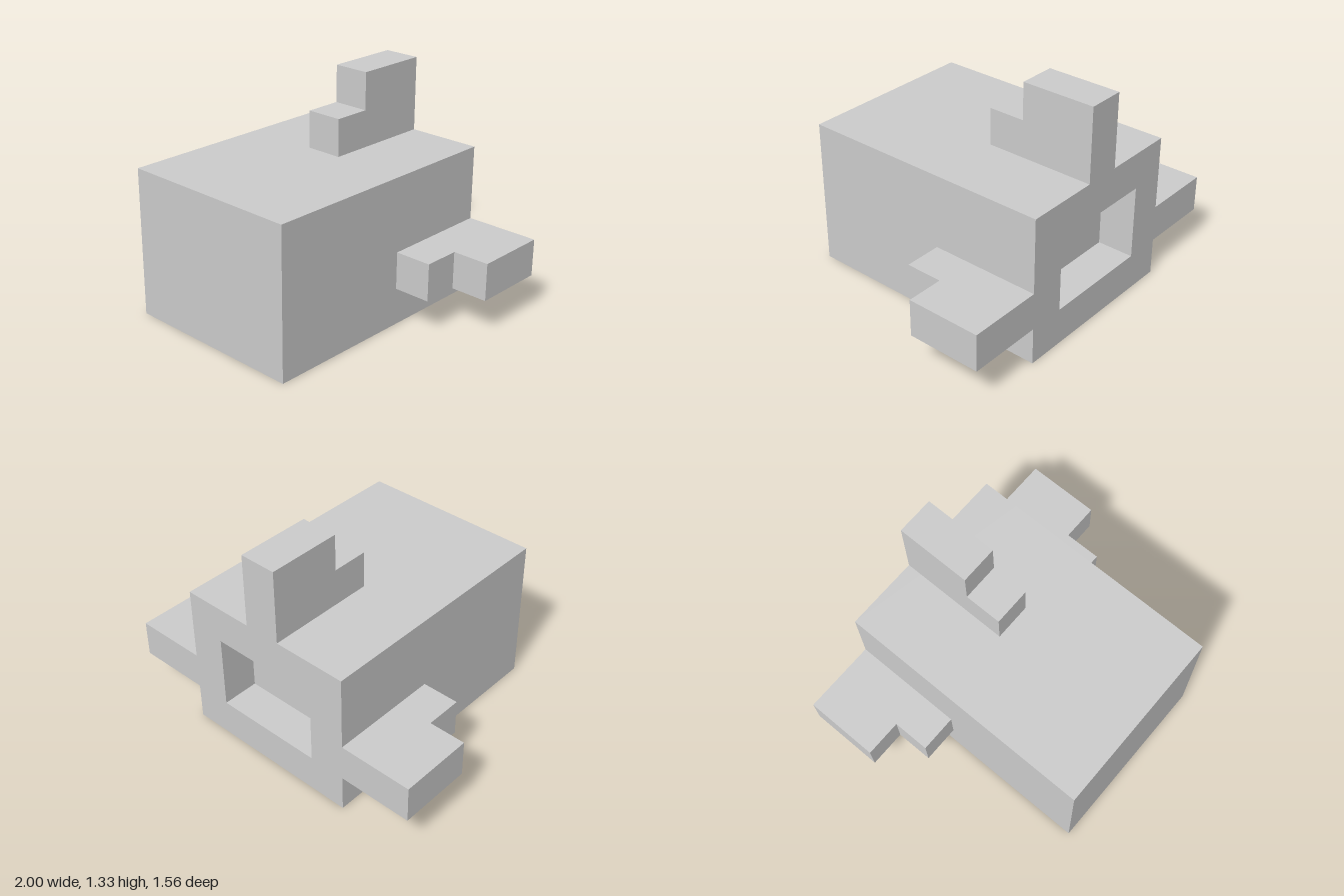
import * as THREE from 'three';

const U = 2 / 9; // one grid unit of the design

export function createModel() {
  const model = new THREE.Group();
  const material = new THREE.MeshStandardMaterial({ color: 0xcccccc, flatShading: true });

  const add = (name, geometry, x, y, z, rotZ = 0) => {
    const mesh = new THREE.Mesh(geometry, material);
    mesh.name = name;
    mesh.position.set(x * U, y * U, z * U);
    mesh.rotation.z = rotZ;
    model.add(mesh);
  };
  const points = (list) => list.map(([x, y]) => new THREE.Vector2(x * U, y * U));
  const extrude = (shape) => new THREE.ExtrudeGeometry(shape, { depth: U, bevelEnabled: false });

  // Solid body; its back face is the floor of the recess
  add('body', new THREE.BoxGeometry(5 * U, 4 * U, 6 * U), 0, 2, 0.5);

  // Rear frame around the rectangular recess
  const frame = new THREE.Shape(points([[-2.5, 0], [2.5, 0], [2.5, 4], [-2.5, 4]]));
  frame.holes.push(new THREE.Path(points([[-1.5, 1], [-1.5, 3], [1.5, 3], [1.5, 1]])));
  add('rearFrame', extrude(frame), 0, 0, -3.5);

  // Stepped fin: profile runs forward from the back and outward from the body
  const fin = extrude(new THREE.Shape(points([[0, 0], [3, 0], [3, 1], [2, 1], [2, 2], [0, 2]])));
  fin.translate(0, 0, -U / 2).rotateY(-Math.PI / 2);
  add('topFin', fin, 0, 4, -3.5);
  add('leftFin', fin, 2.5, 1.5, -3.5, -Math.PI / 2);
  add('rightFin', fin, -2.5, 1.5, -3.5, Math.PI / 2);

  return model;
}
